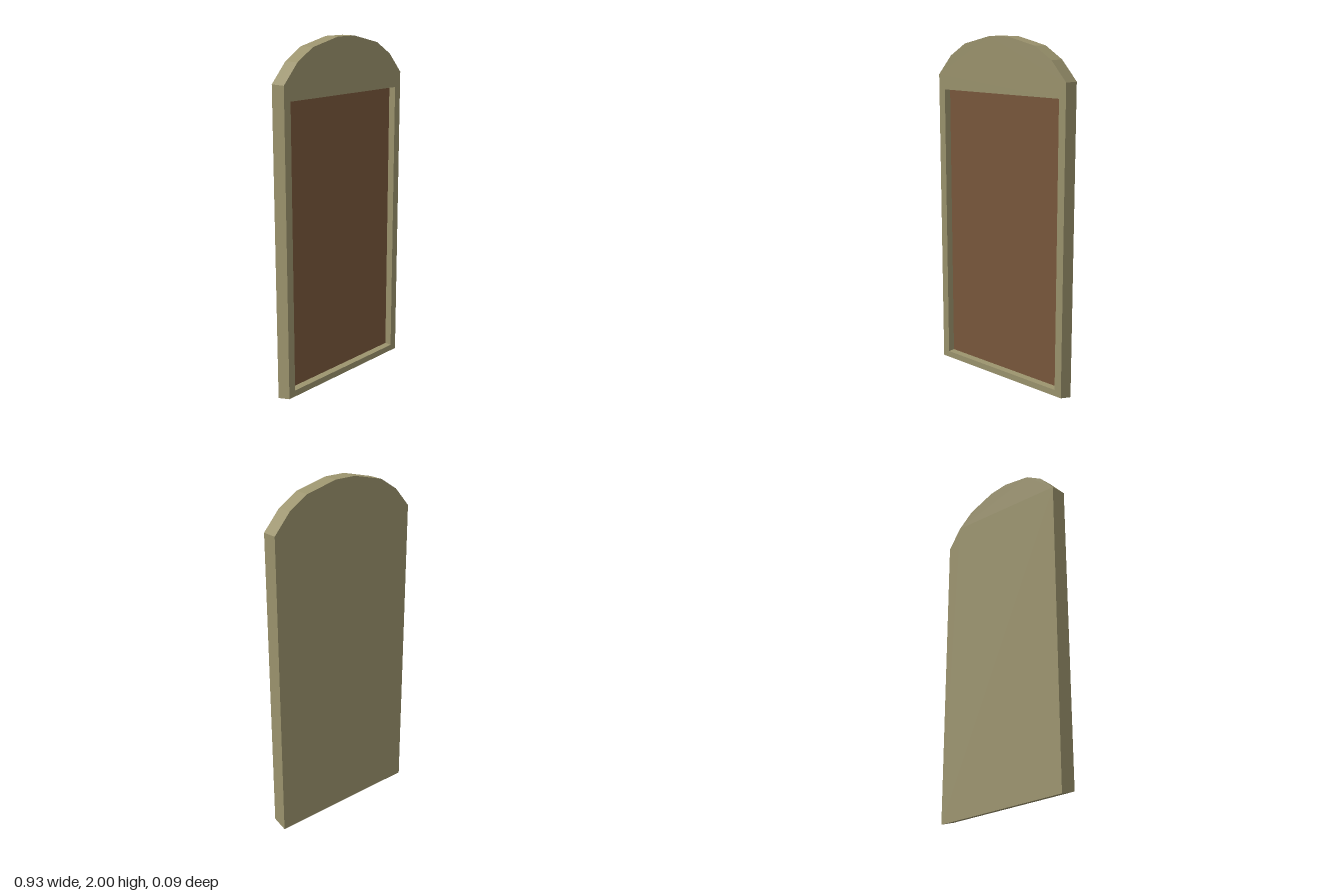
import * as THREE from 'three';

const HALF_DEPTH = 0.045;
const SILL_RISE = 0.025; // the underside climbs from back to front

// Right half of the arched outline, from the base up
const HALF = [[0.465, 0], [0.465, 1.775], [0.367, 1.885], [0.255, 1.955], [0.065, 2]];
// Recess opening
const HOLE = { x: 0.42, bottom: 0.062, top: 1.69 };

function archShape() {
  const left = HALF.map(([x, y]) => [-x, y]).reverse();
  return new THREE.Shape([...HALF, ...left].map(([x, y]) => new THREE.Vector2(x, y)));
}

// Extrudes a shape between two depths and slopes its underside
function slab(shape, z0, z1) {
  const geo = new THREE.ExtrudeGeometry(shape, { depth: z1 - z0, bevelEnabled: false });
  geo.translate(0, 0, z0);
  const p = geo.attributes.position;
  for (let i = 0; i < p.count; i++) {
    if (p.getY(i) < 0.01) {
      p.setY(i, SILL_RISE * (p.getZ(i) + HALF_DEPTH) / (2 * HALF_DEPTH));
    }
  }
  geo.computeVertexNormals();
  return geo;
}

export function createModel() {
  const group = new THREE.Group();
  const stone = new THREE.MeshStandardMaterial({ color: 0x9c946e, flatShading: true });
  const wood = new THREE.MeshStandardMaterial({ color: 0x7a583c, flatShading: true });

  function add(name, geometry, material) {
    const mesh = new THREE.Mesh(geometry, material);
    mesh.name = name;
    group.add(mesh);
    return mesh;
  }

  // Solid back half
  add('backing', slab(archShape(), -HALF_DEPTH, 0), stone);

  // Front half with the rectangular recess
  const frame = archShape();
  frame.holes.push(new THREE.Path([
    new THREE.Vector2(-HOLE.x, HOLE.bottom),
    new THREE.Vector2(-HOLE.x, HOLE.top),
    new THREE.Vector2(HOLE.x, HOLE.top),
    new THREE.Vector2(HOLE.x, HOLE.bottom),
  ]));
  add('frame', slab(frame, 0, HALF_DEPTH), stone);

  // Coloured panel at the bottom of the recess
  const panel = add('panel', new THREE.PlaneGeometry(2 * HOLE.x, HOLE.top - HOLE.bottom), wood);
  panel.position.set(0, (HOLE.top + HOLE.bottom) / 2, 0.002);

  return group;
}
